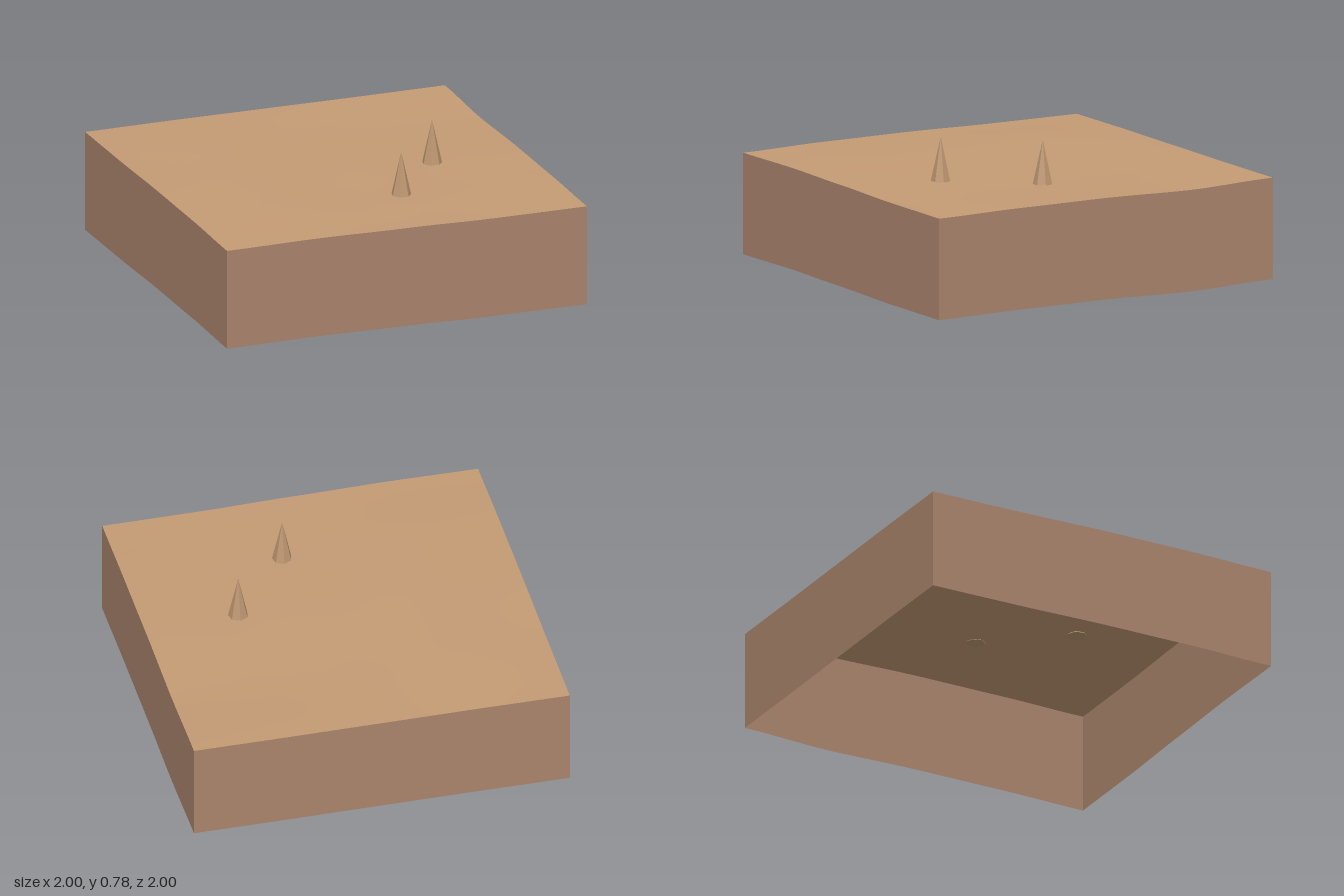
import * as THREE from 'three';

const WALL = 0.535; // wall height, the same all round
const N = 24;       // segments along each side

// Gentle rise of the land in thousandths, rows from back to front, columns along x
const RISE = [
  [17, 19, 18, 17, 18],
  [17, 27, 15, 6, 2],
  [22, 27, 17, 9, 10],
  [20, 26, 12, 6, 8],
  [10, 14, 8, 0, 0],
];

// Smoothly blended rise at any point
function rise(x, z) {
  const u = THREE.MathUtils.clamp((x + 1) * 2, 0, 4);
  const v = THREE.MathUtils.clamp((z + 1) * 2, 0, 4);
  const i = Math.min(3, Math.floor(u)), j = Math.min(3, Math.floor(v));
  const s = THREE.MathUtils.smoothstep(u - i, 0, 1);
  const t = THREE.MathUtils.smoothstep(v - j, 0, 1);
  const back = THREE.MathUtils.lerp(RISE[j][i], RISE[j][i + 1], s);
  const front = THREE.MathUtils.lerp(RISE[j + 1][i], RISE[j + 1][i + 1], s);
  return THREE.MathUtils.lerp(back, front, t) / 1000;
}

// Lift every vertex by the rise beneath it
function lift(geometry) {
  const p = geometry.attributes.position;
  for (let k = 0; k < p.count; k++) {
    p.setY(k, p.getY(k) + rise(p.getX(k), p.getZ(k)));
  }
  geometry.computeVertexNormals();
  return geometry;
}

export function createModel() {
  const model = new THREE.Group();
  model.name = 'terrainTile';

  const sand = new THREE.MeshStandardMaterial({ color: 0xc49b74, side: THREE.DoubleSide });
  sand.name = 'sand';
  const earth = new THREE.MeshStandardMaterial({ color: 0xaa846c, side: THREE.DoubleSide });
  earth.name = 'earth';
  const stone = new THREE.MeshStandardMaterial({ color: 0xbd9670, flatShading: true });
  stone.name = 'stone';

  const add = (name, geometry, material) => {
    const mesh = new THREE.Mesh(geometry, material);
    mesh.name = name;
    model.add(mesh);
    return mesh;
  };

  // Undulating ground
  const ground = new THREE.PlaneGeometry(2, 2, N, N).rotateX(-Math.PI / 2).translate(0, WALL, 0);
  add('ground', lift(ground), sand);

  // Four thin walls, open underneath, following the ground
  ['frontWall', 'leftWall', 'backWall', 'rightWall'].forEach((name, k) => {
    const wall = new THREE.PlaneGeometry(2, WALL, N, 1)
      .translate(0, WALL / 2, 1)
      .rotateY(k * Math.PI / 2);
    add(name, lift(wall), earth);
  });

  // Seven-sided spikes with a corner towards the back
  [[0.165, 0.5], [0.5, 0.085]].forEach(([x, z], k) => {
    const base = 0.542, tip = 0.778;
    const spike = new THREE.ConeGeometry(0.053, tip - base, 7).rotateY(Math.PI);
    add('spike' + (k + 1), spike, stone).position.set(x, (base + tip) / 2, z);
  });

  return model;
}
